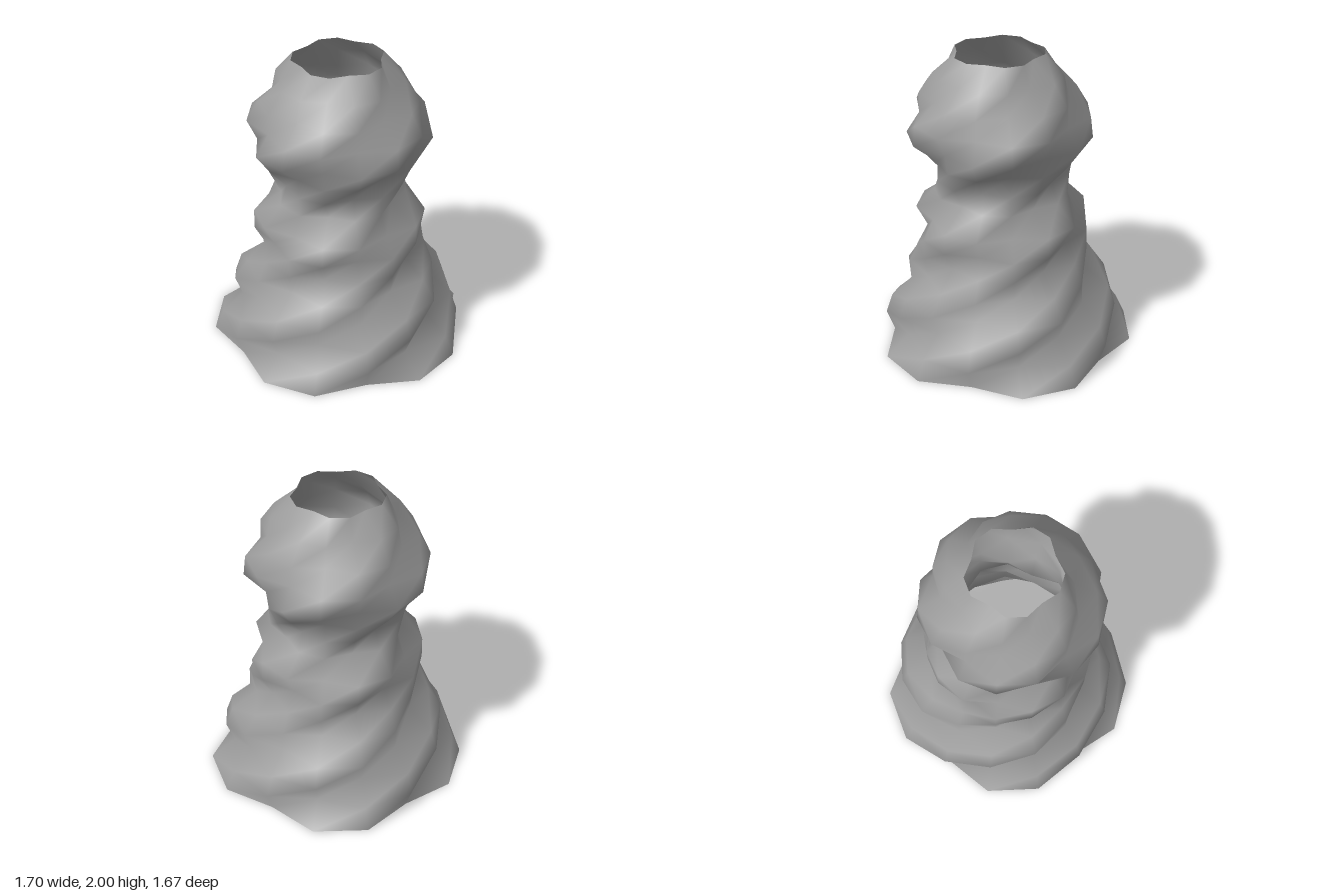
import * as THREE from 'three';

const SIDES = 15, HEIGHT = 2;
// mean radius of each ring, bottom to top
const RADII = [0.823, 0.766, 0.722, 0.678, 0.592, 0.537, 0.538, 0.536,
  0.416, 0.426, 0.482, 0.57, 0.557, 0.484, 0.396, 0.284];

// open tube of five-lobed rings, each turned one side further than the ring below
function twistedTube() {
  const rows = RADII.length - 1;
  const positions = [], index = [];
  RADII.forEach((radius, i) => {
    const t = i / rows;
    // the axis leans slightly
    const cx = -0.01 + 0.014 * t, cz = -0.022 + 0.04 * t;
    for (let j = 0; j < SIDES; j++) {
      const angle = (j / SIDES) * Math.PI * 2;
      const lobe = 1 - 0.088 * Math.cos(((j + i - 2) / 3) * Math.PI * 2);
      const r = radius * lobe;
      positions.push(cx + r * Math.cos(angle), t * HEIGHT, cz + r * Math.sin(angle));
    }
  });
  // faces, with diagonals running along the spiral ridges
  for (let i = 0; i < rows; i++) {
    for (let j = 0; j < SIDES; j++) {
      const k = (j + 1) % SIDES;
      const a = i * SIDES + j, b = i * SIDES + k;
      const c = a + SIDES, d = b + SIDES;
      index.push(a, c, b, b, c, d);
    }
  }
  const geometry = new THREE.BufferGeometry();
  geometry.setAttribute('position', new THREE.Float32BufferAttribute(positions, 3));
  geometry.setIndex(index);
  geometry.computeVertexNormals();
  return geometry;
}

export function createModel() {
  const group = new THREE.Group();
  group.name = 'twistedVase';
  const material = new THREE.MeshStandardMaterial({ color: 0x9d9d9d, side: THREE.DoubleSide });
  const shell = new THREE.Mesh(twistedTube(), material);
  shell.name = 'spiralShell';
  group.add(shell);
  return group;
}
